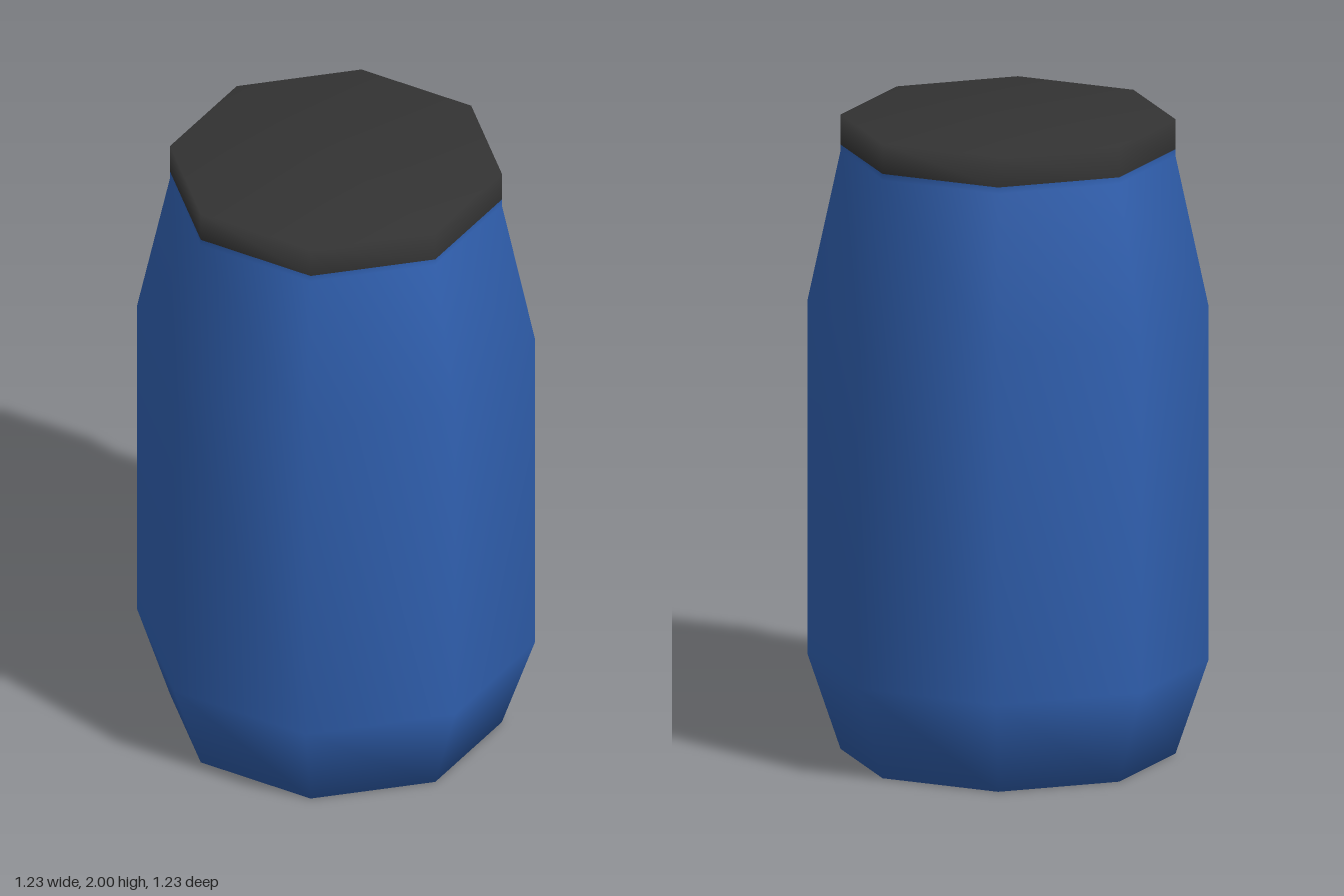
import * as THREE from 'three';

const blue = new THREE.MeshStandardMaterial({ color: 0x3060b0 });
blue.name = 'barrel blue';
const black = new THREE.MeshStandardMaterial({ color: 0x333333 });
black.name = 'lid black';

// Eight-sided turned part from [radius, height] pairs, bottom to top
function turned(name, profile, material) {
  const points = profile.map(([r, y]) => new THREE.Vector2(r, y));
  const mesh = new THREE.Mesh(new THREE.LatheGeometry(points, 8), material);
  mesh.name = name;
  return mesh;
}

export function createModel() {
  const barrel = new THREE.Group();
  barrel.name = 'barrel';

  // Body: closed base, bulging wall and the foot of the neck
  barrel.add(turned('body', [
    [0, 0], [0.513, 0], [0.615, 0.3], [0.615, 1.41], [0.513, 1.885], [0.513, 1.905],
  ], blue));

  // Lid: short straight rim and flat top
  barrel.add(turned('lid', [[0.513, 1.905], [0.513, 2], [0, 2]], black));

  return barrel;
}
